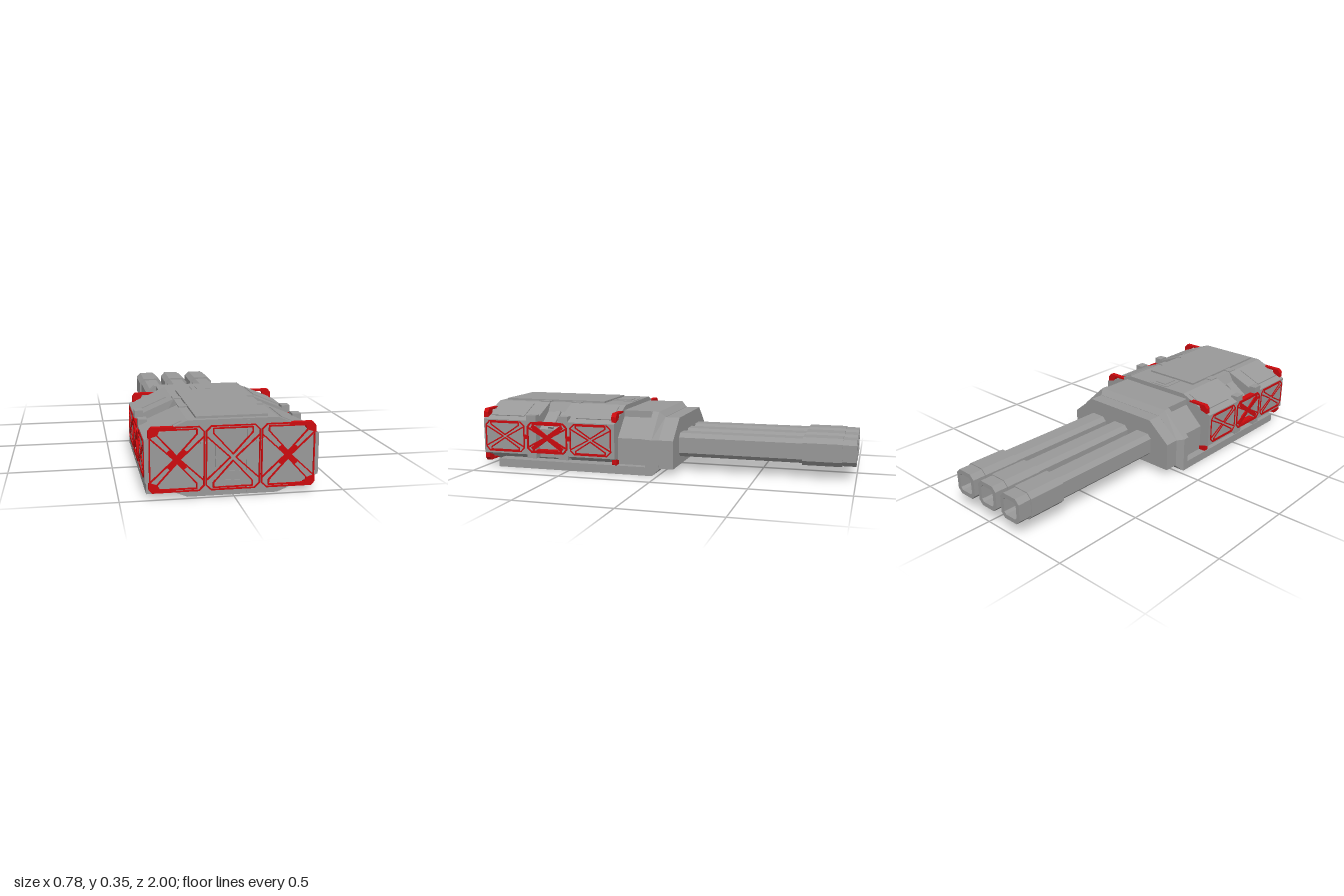
import * as THREE from 'three';
import { mergeGeometries } from 'three/addons/utils/BufferGeometryUtils.js';

const mat = (name, color) => {
  const m = new THREE.MeshStandardMaterial({ color });
  m.name = name;
  return m;
};

export function createModel() {
  const grey = mat('armour grey', 0x999999);
  const red = mat('marking red', 0xcc0a0e);
  const model = new THREE.Group();
  model.name = 'turret';
  model.position.x = -0.004;

  const add = (name, geo, material = grey, parent = model) => {
    const m = new THREE.Mesh(geo, material);
    m.name = name;
    parent.add(m);
    return m;
  };
  const shapeOf = pts => new THREE.Shape(pts.map(p => new THREE.Vector2(...p)));
  // Closed outline from its right half, listed bottom to top
  const sym = half => [...half, ...half.map(([x, y]) => [-x, y]).reverse()];
  // Outline swept from z0 to z1, with its z0 end optionally scaled about height cy
  const prism = (pts, z0, z1, { holes = [], sx = 1, sy = 1, cy = 0 } = {}) => {
    const s = shapeOf(pts);
    s.holes = holes.map(h => new THREE.Path(h.map(p => new THREE.Vector2(...p))));
    const g = new THREE.ExtrudeGeometry(s, { depth: z1 - z0, bevelEnabled: false });
    const p = g.attributes.position;
    for (let i = 0; i < p.count; i++) if (p.getZ(i) < 1e-6) {
      p.setXY(i, p.getX(i) * sx, cy + (p.getY(i) - cy) * sy);
    }
    g.translate(0, 0, z0);
    g.computeVertexNormals();
    return g;
  };
  // Box from its limits
  const box = (x0, x1, y0, y1, z0, z1) =>
    new THREE.BoxGeometry(x1 - x0, y1 - y0, z1 - z0).translate((x0 + x1) / 2, (y0 + y1) / 2, (z0 + z1) / 2);

  // Hull: two full octagonal bays with a recessed bay between them
  const hull = sym([[0.2, 0.005], [0.386, 0.08], [0.386, 0.266], [0.2, 0.345]]);
  add('rearHull', prism(hull, 0.23, 0.55));
  add('frontHull', prism(hull, 0.68, 0.992));
  add('middleHull', prism(sym([[0.2, 0.005], [0.34, 0.06], [0.34, 0.215], [0.225, 0.295], [0.195, 0.345]]), 0.55, 0.68));

  // Top plate, hatch and raised edge rails
  add('topPlate', box(-0.16, 0.16, 0.34, 0.355, 0.37, 0.965));
  add('hatchFrame', box(-0.07, 0.05, 0.34, 0.348, 0.24, 0.365));
  add('hatch', box(-0.045, 0.025, 0.34, 0.352, 0.26, 0.35));

  // Clamps and shallow panels on both sides
  const slope = Math.atan2(0.079, 0.186);
  for (const s of [-1, 1]) {
    for (const [z0, z1] of [[0.495, 0.55], [0.68, 0.735]]) {
      add('sidePost', box(s * 0.365 - 0.021, s * 0.365 + 0.021, 0.06, 0.295, z0, z1));
      add('topClamp', box(s * 0.18 - 0.02, s * 0.18 + 0.02, 0.33, 0.35, z0, z1));
    }
    for (const z of [0.36, 0.865]) {
      const plate = add('slopePanel', new THREE.BoxGeometry(0.14, 0.008, 0.2));
      plate.position.set(s * 0.285, 0.309, z);
      plate.rotation.z = -s * slope;
    }
    const pipe = add('recessRib', new THREE.BoxGeometry(0.13, 0.02, 0.03));
    pipe.position.set(s * 0.283, 0.257, 0.615);
    pipe.rotation.z = -s * 0.61;
  }
  for (const z of [0.49, 0.735]) add('sideKnob', box(0.38, 0.393, 0.165, 0.19, z - 0.012, z + 0.012), red);

  // Front face details
  for (const x of [-0.07, 0.07]) {
    for (const y of [0.093, 0.262]) add('frontSlot', box(x - 0.009, x + 0.009, y - 0.078, y + 0.078, 0.985, 0.995));
  }
  for (const y of [0.06, 0.1]) add('frontStep', box(-0.04, 0.035, y - 0.013, y + 0.013, 0.985, 0.996));

  // Red braced frame, drawn flat and facing +z
  const frame = (w, h, t, d, core = 0) => {
    const parts = [];
    const bar = ([x0, y0], [x1, y1], th = t) => parts.push(
      new THREE.BoxGeometry(Math.hypot(x1 - x0, y1 - y0) + th * 0.4, th, d)
        .rotateZ(Math.atan2(y1 - y0, x1 - x0)).translate((x0 + x1) / 2, (y0 + y1) / 2, 0));
    const loop = pts => pts.forEach((p, i) => bar(p, pts[(i + 1) % pts.length]));
    const X = w / 2 - t / 2, Y = h / 2 - t / 2, c = 0.09 * w;
    loop([[X - c, -Y], [X, c - Y], [X, Y - c], [X - c, Y], [c - X, Y], [-X, Y - c], [-X, c - Y], [c - X, -Y]]);
    for (const s of [-1, 1]) {
      const a = X - 0.13 * w, top = s * (Y - 0.035 * h), sh = s * (Y - 0.11 * h);
      loop([[-a, top], [a, top], [a, sh], [0, s * 0.05 * h], [-a, sh]]);
      const b = Y - 0.15 * h;
      bar([s * X, b], [s * 0.05 * w, 0]);
      bar([s * X, -b], [s * 0.05 * w, 0]);
      if (core) bar([-core * w, -s * core * h], [core * w, s * core * h], 0.022);
    }
    return mergeGeometries(parts);
  };

  // Front frames, with small ties between them
  for (const i of [-1, 0, 1]) {
    add('frontFrame', frame(0.242, 0.29, 0.006, 0.008, i ? 0.13 : 0), red).position.set(i * 0.246, 0.175, 0.995);
  }
  for (const x of [-0.123, 0.123]) {
    add('frameTie', box(x - 0.02, x + 0.02, 0.24, 0.25, 0.99, 0.997));
  }

  // Side frames: thin on the bays, deep and open over the recess
  for (const s of [-1, 1]) {
    for (const z of [0.365, 0.615, 0.865]) {
      const mid = z === 0.615;
      const f = add('sideFrame', mid ? frame(0.235, 0.17, 0.009, 0.008, 0.36) : frame(0.235, 0.17, 0.007, 0.006), red);
      f.rotation.y = s * Math.PI / 2;
      f.position.set(s * 0.386, 0.175, z);
      if (mid) {
        for (const y of [0.1, 0.25]) {
          add('recessBeam', box(s * 0.37 - 0.015, s * 0.37 + 0.015, y - 0.008, y + 0.008, 0.55, 0.68), red);
        }
      }
    }
  }

  // Red corner brackets at both ends of the hull
  const corner = [[0.25, 0.32], [0.25, 0.311], [0.32, 0.309], [0.33, 0.285], [0.37, 0.272], [0.37, 0.302], [0.355, 0.32]];
  for (const sx of [-1, 1]) for (const sy of [-1, 1]) for (const z of [0.225, 0.973]) {
    const pts = corner.map(([x, y]) => [sx * x, 0.175 + sy * (y - 0.175)]);
    add('cornerBracket', prism(pts, z, z + 0.026), red);
  }

  // Base plate with a recessed belly panel
  const base = shapeOf([[-0.372, 0.05], [0.372, 0.05], [0.372, 0.915], [-0.372, 0.915]]);
  base.holes.push(new THREE.Path([[-0.17, 0.3], [-0.17, 0.7], [0.17, 0.7], [0.17, 0.3]].map(p => new THREE.Vector2(...p))));
  add('basePlate', new THREE.ExtrudeGeometry(base, { depth: 0.045, bevelEnabled: false }).rotateX(Math.PI / 2).translate(0, 0.045, 0));
  add('bellyPanel', box(-0.17, 0.17, 0.012, 0.04, 0.3, 0.7));
  add('bellyHatch', box(-0.09, 0.09, 0.004, 0.03, 0.36, 0.6));
  add('bellyLatch', box(-0.05, 0.05, 0.001, 0.02, 0.42, 0.5));

  // Gun casing: inset core, wide flange, tapered shoulder and mantlet
  add('casingCore', prism(sym([[0.33, 0.03], [0.33, 0.185], [0.225, 0.285], [0.225, 0.32]]), 0.06, 0.235));
  const flange = sym([[0.373, 0], [0.373, 0.19], [0.235, 0.32]]);
  add('casingFlange', prism(flange, 0.03, 0.065));
  add('casingShoulder', prism(flange, 0, 0.03, { sx: 0.92, sy: 0.82, cy: 0.16 }));
  add('mantlet', prism(sym([[0.343, 0.035], [0.343, 0.185], [0.217, 0.29]]), -0.078, 0));

  // Three square barrels with sleeves and open muzzles
  const cut = (w, h, c) => sym([[w / 2 - c, -h / 2], [w / 2, c - h / 2], [w / 2, h / 2 - c], [w / 2 - c, h / 2]]);
  const bore = [cut(0.088, 0.09, 0.012)];
  for (const x of [-0.168, 0, 0.168]) {
    const barrel = new THREE.Group();
    barrel.name = 'barrel';
    barrel.position.set(x, 0.144, 0);
    model.add(barrel);
    add('barrelTube', prism(cut(0.12, 0.127, 0.022), -0.74, -0.07), grey, barrel);
    add('barrelSleeve', prism(cut(0.142, 0.145, 0.026), -0.93, -0.73, { holes: bore }), grey, barrel);
    add('muzzle', prism(cut(0.132, 0.135, 0.024), -1, -0.93, { holes: bore }), grey, barrel);
  }
  return model;
}
